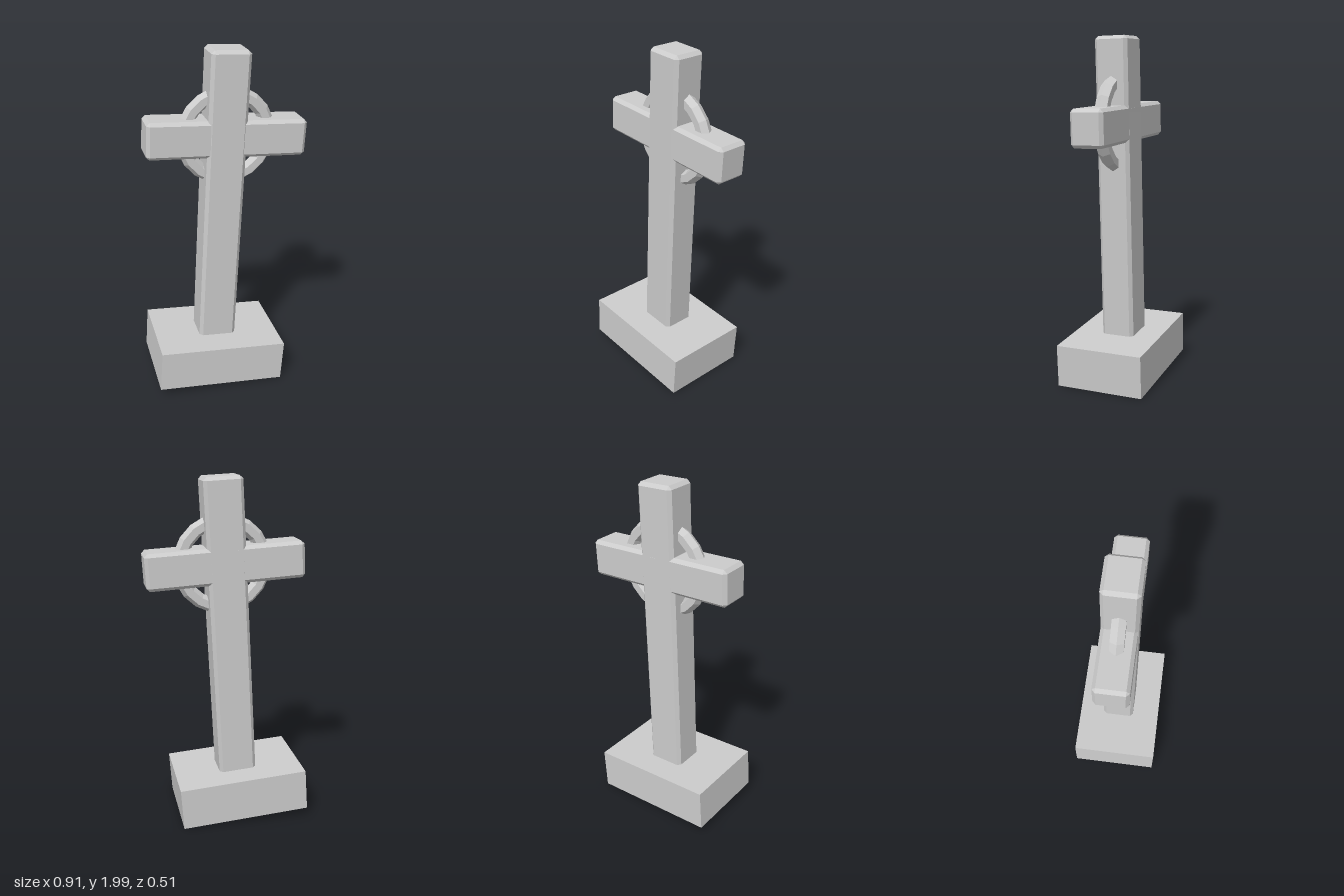
import * as THREE from 'three';
import { ConvexGeometry } from 'three/addons/geometries/ConvexGeometry.js';

// Box with every edge cut by a flat chamfer
function chamferedBox(w, h, d, c) {
  const half = [w / 2, h / 2, d / 2];
  const points = [];
  for (const sx of [-1, 1]) for (const sy of [-1, 1]) for (const sz of [-1, 1]) {
    for (let full = 0; full < 3; full++) {
      const p = half.map((v, i) => (i === full ? v : v - c));
      points.push(new THREE.Vector3(sx * p[0], sy * p[1], sz * p[2]));
    }
  }
  return new ConvexGeometry(points);
}

export function createModel() {
  const group = new THREE.Group();
  const stone = new THREE.MeshStandardMaterial({ color: 0xcccccc, flatShading: true });
  stone.name = 'grey stone';

  const add = (name, geometry, x, y, z, leanDegrees, pitch = 0) => {
    const mesh = new THREE.Mesh(geometry, stone);
    mesh.name = name;
    mesh.position.set(x, y, z);
    mesh.rotation.set(pitch, 0, THREE.MathUtils.degToRad(leanDegrees));
    group.add(mesh);
  };

  // Sunken, tilted plinth
  add('base', new THREE.BoxGeometry(0.746, 0.244, 0.512), -0.077, 0.153, 0, -4.1);

  // Leaning upright, its foot buried in the plinth
  add('post', chamferedBox(0.22, 1.844, 0.194, 0.019), -0.027, 1.073, -0.004, -2.9, 0.004);

  // Crossbar
  add('crossArm', chamferedBox(0.9, 0.208, 0.19, 0.019), 0, 1.511, -0.004, -3.1);

  // Ring with a six-sided section, ridge facing outward
  add('ring', new THREE.TorusGeometry(0.242, 0.042, 6, 20), 0.008, 1.51, -0.003, -3);

  return group;
}
